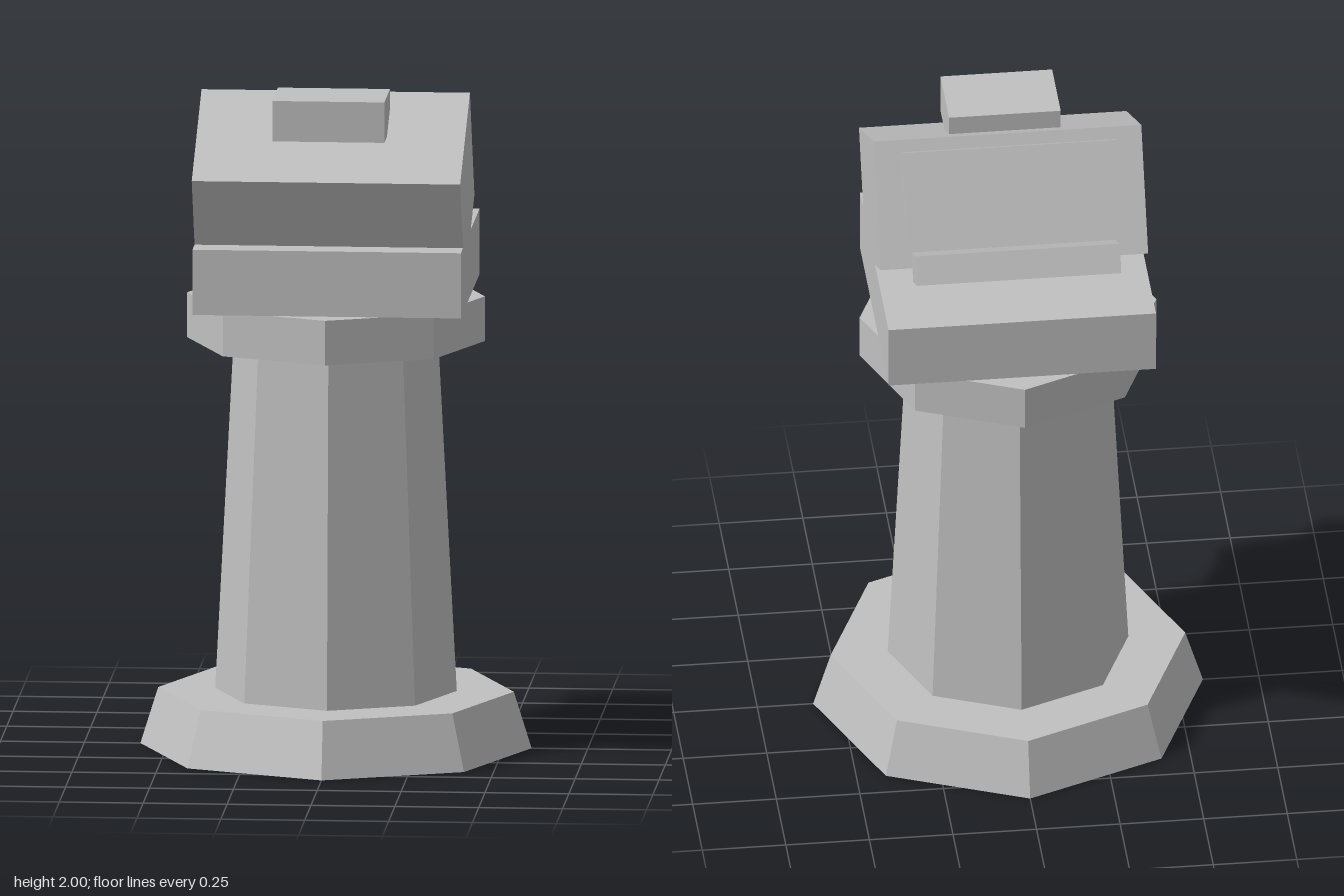
import * as THREE from 'three';

export function createModel() {
  const model = new THREE.Group();
  model.name = 'pedestalConsole';
  const stone = new THREE.MeshStandardMaterial({ color: 0xc0c0c0, flatShading: true });
  stone.name = 'lightGrey';

  const add = (parent, name, geometry, x, y, z) => {
    const mesh = new THREE.Mesh(geometry, stone);
    mesh.name = name;
    mesh.position.set(x, y, z);
    parent.add(mesh);
    return mesh;
  };

  // Octagonal tiers, with a corner facing the front
  const tier = (name, rBottom, rTop, y0, y1) =>
    add(model, name, new THREE.CylinderGeometry(rTop, rBottom, y1 - y0, 8), 0, (y0 + y1) / 2, 0);
  tier('base', 0.583, 0.53, 0, 0.17);
  tier('column', 0.36, 0.305, 0.17, 1.228);
  tier('collar', 0.444, 0.444, 1.228, 1.363);

  // Square platform on the collar
  add(model, 'platform', new THREE.BoxGeometry(0.8, 0.197, 0.75), 0, 1.4615, 0);

  // Head tilted towards the front, with a panel and ledge on its back
  const head = new THREE.Group();
  head.name = 'tiltedHead';
  head.position.set(0, 1.7055, 0.1165);
  head.rotation.x = 0.486;
  model.add(head);
  add(head, 'headBlock', new THREE.BoxGeometry(0.8, 0.385, 0.443), 0, 0, 0);
  add(head, 'backPanel', new THREE.BoxGeometry(0.64, 0.284, 0.027), 0, 0.013, -0.2345);
  add(head, 'backLedge', new THREE.BoxGeometry(0.61, 0.088, 0.125), 0, -0.1895, -0.284);

  // Level block set into the sloping top
  add(model, 'topBlock', new THREE.BoxGeometry(0.334, 0.122, 0.225), 0, 1.939, 0.194);

  return model;
}
